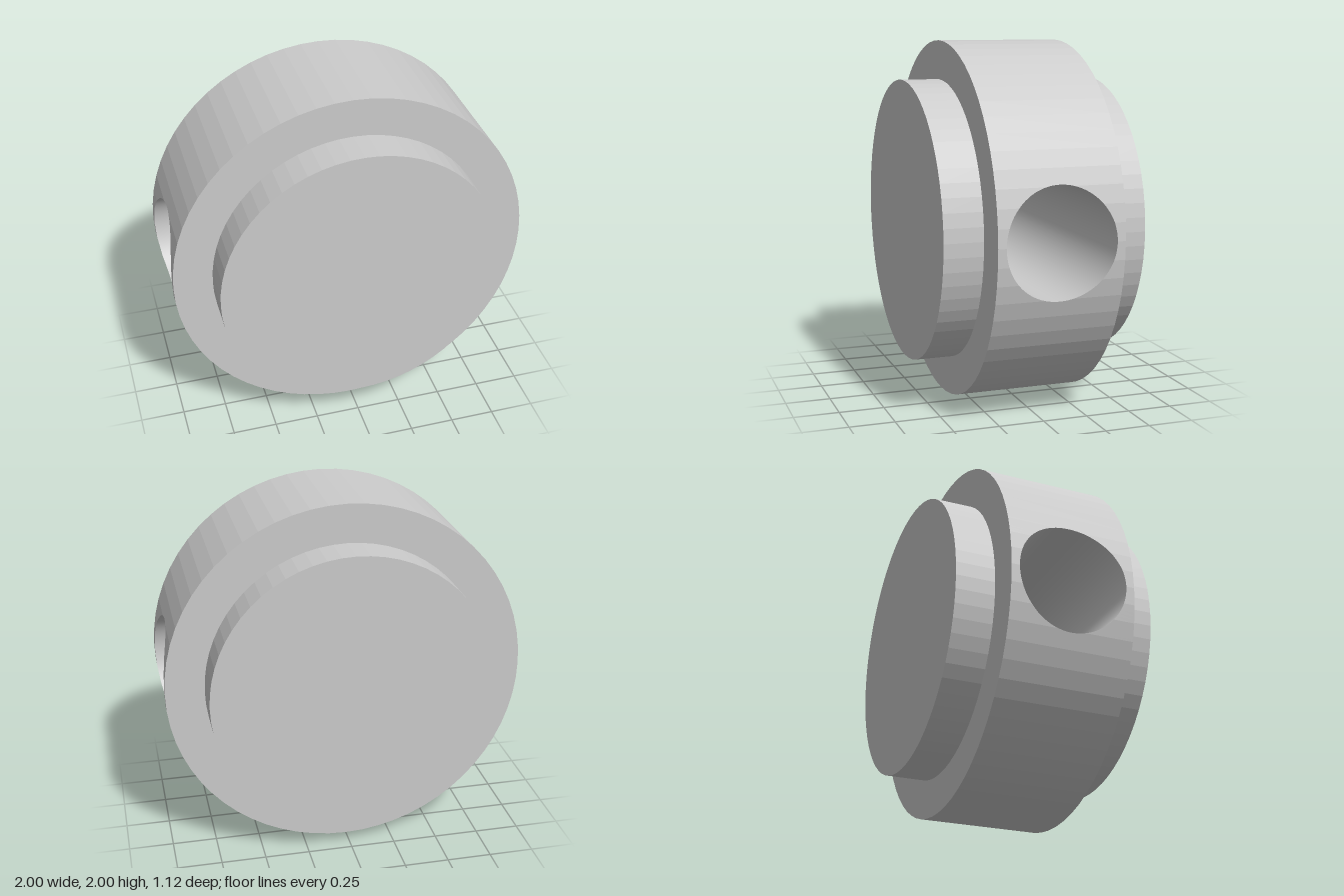
import * as THREE from 'three';
import { mergeGeometries } from 'three/addons/utils/BufferGeometryUtils.js';

const SIDES = 64, STEP = (2 * Math.PI) / SIDES;
const HALF = 0.345, BOSS_R = 0.785, BOSS_Z = 0.56, HOLE = 0.3;

// x of the faceted rim at a given height, near the ends of the x axis
function rimX(y) {
  const k = Math.floor(Math.asin(y) / STEP + 1e-6);
  const y0 = Math.sin(k * STEP), y1 = Math.sin((k + 1) * STEP);
  return THREE.MathUtils.lerp(Math.cos(k * STEP), Math.cos((k + 1) * STEP), (y - y0) / (y1 - y0));
}

function geometryFromQuads(quads) {
  const pos = quads.flatMap(([a, b, c, d]) => [a, b, c, a, c, d].flat());
  const g = new THREE.BufferGeometry();
  g.setAttribute('position', new THREE.Float32BufferAttribute(pos, 3));
  g.computeVertexNormals();
  return g;
}

// Angles around the hole, including those where it crosses a rim facet edge
function holeAngles() {
  const list = [];
  for (let i = 0; i <= 40; i++) list.push(-Math.PI / 2 + (i * Math.PI) / 40);
  for (let k = -3; k <= 3; k++) if (k) list.push(Math.asin(Math.sin(k * STEP) / HOLE));
  return list.sort((a, b) => a - b);
}

export function createModel() {
  const group = new THREE.Group();
  const flat = new THREE.MeshStandardMaterial({ color: 0xcccccc, flatShading: true });
  const smooth = new THREE.MeshStandardMaterial({ color: 0xcccccc });
  const add = (name, geometry, material) => {
    const mesh = new THREE.Mesh(geometry, material);
    mesh.name = name;
    mesh.position.y = 1;
    group.add(mesh);
  };

  // Stepped faces: flat ring, raised boss and its end
  const profile = [[1, HALF], [BOSS_R, HALF], [BOSS_R, BOSS_Z], [0, BOSS_Z]].map(p => new THREE.Vector2(...p));
  for (const [name, s] of [['frontBoss', 1], ['backBoss', -1]]) {
    add(name, new THREE.LatheGeometry(profile, SIDES).rotateX((s * Math.PI) / 2), flat);
  }

  // Half of the rim: strips beside the hole, then full-width facets over the top
  const rim = [], tunnel = [];
  const ring = holeAngles().map(a => {
    const y = HOLE * Math.sin(a);
    return { x: rimX(y), y, z: HOLE * Math.cos(a) };
  });
  for (let i = 0; i + 1 < ring.length; i++) {
    const a = ring[i], b = ring[i + 1];
    rim.push([[a.x, a.y, a.z], [b.x, b.y, b.z], [b.x, b.y, HALF], [a.x, a.y, HALF]]);
    rim.push([[a.x, a.y, -HALF], [b.x, b.y, -HALF], [b.x, b.y, -b.z], [a.x, a.y, -a.z]]);
    tunnel.push([[-a.x, a.y, a.z], [-b.x, b.y, b.z], [b.x, b.y, b.z], [a.x, a.y, a.z]]);
  }
  const arc = [[rimX(HOLE), HOLE]];
  for (let k = 4; k <= SIDES / 2 - 4; k++) arc.push([Math.cos(k * STEP), Math.sin(k * STEP)]);
  arc.push([-rimX(HOLE), HOLE]);
  for (let i = 0; i + 1 < arc.length; i++) {
    const a = arc[i], b = arc[i + 1];
    rim.push([[...a, -HALF], [...b, -HALF], [...b, HALF], [...a, HALF]]);
  }
  const halfRim = geometryFromQuads(rim);
  add('rim', mergeGeometries([halfRim, halfRim.clone().rotateZ(Math.PI)]), flat);

  // Cross hole running through from side to side, with smooth inward normals
  const half = geometryFromQuads(tunnel);
  const p = half.attributes.position, n = half.attributes.normal;
  for (let i = 0; i < p.count; i++) n.setXYZ(i, 0, -p.getY(i) / HOLE, -p.getZ(i) / HOLE);
  add('crossHole', mergeGeometries([half, half.clone().rotateX(Math.PI)]), smooth);

  return group;
}
